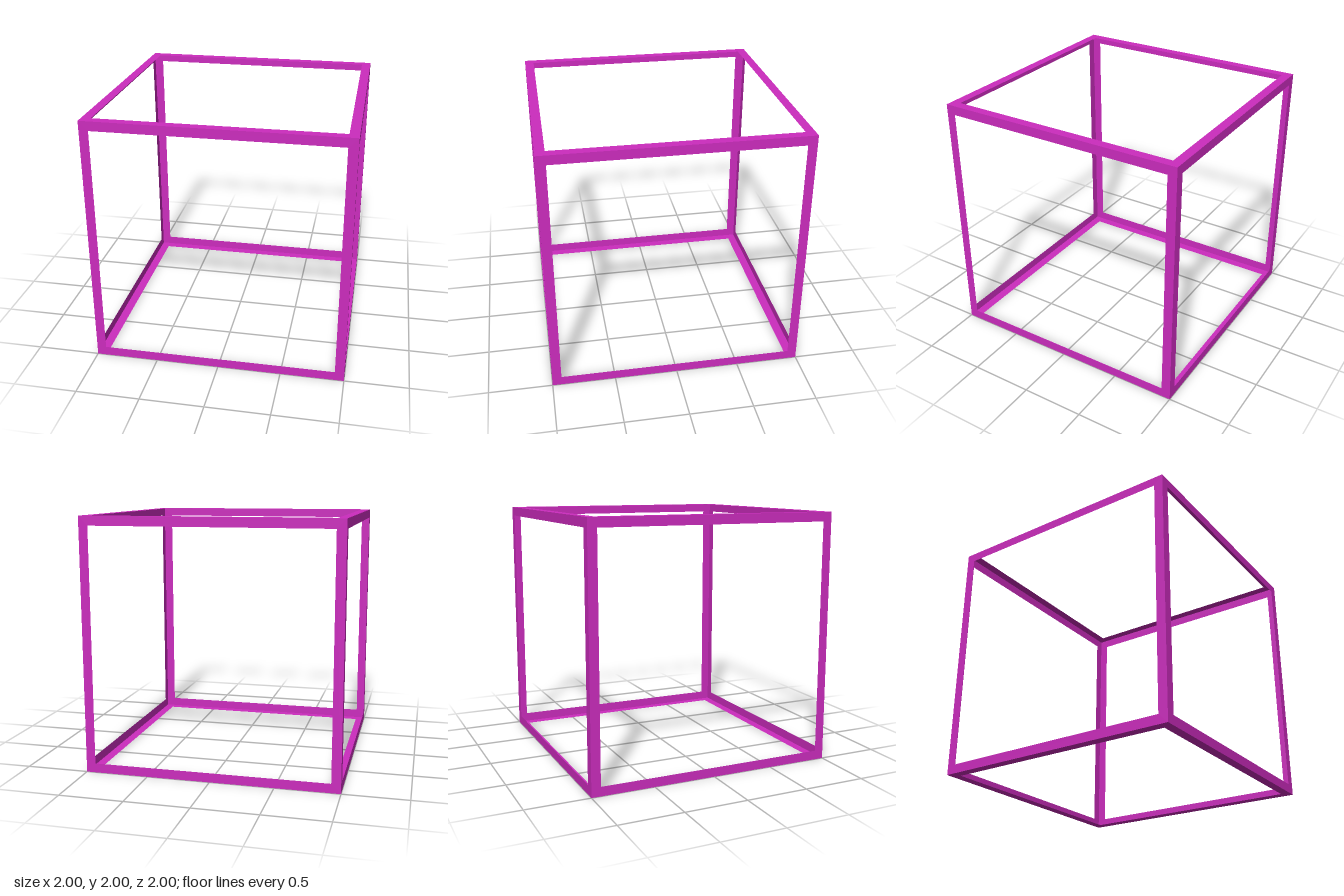
import * as THREE from 'three';

const HALF = 1;         // half the cube's edge
const BORDER = 0.073;   // width of each face's rim

export function createModel() {
  const model = new THREE.Group();
  model.name = 'openCubeFrame';

  const magenta = new THREE.MeshStandardMaterial({ color: 0xcc2cbe, side: THREE.DoubleSide });
  magenta.name = 'magenta';

  // Flat square rim with a square opening
  const square = (r) => [[-r, -r], [r, -r], [r, r], [-r, r]].map(([x, y]) => new THREE.Vector2(x, y));
  const rim = new THREE.Shape(square(HALF));
  rim.holes.push(new THREE.Path(square(HALF - BORDER).reverse()));
  const rimGeometry = new THREE.ShapeGeometry(rim).translate(0, 0, HALF);

  // One rim for each side of the cube, turned to face outwards
  const sides = [
    ['frontRim', 0, 0],
    ['leftRim', 0, Math.PI / 2],
    ['backRim', 0, Math.PI],
    ['rightRim', 0, -Math.PI / 2],
    ['topRim', -Math.PI / 2, 0],
    ['bottomRim', Math.PI / 2, 0],
  ];
  for (const [name, rx, ry] of sides) {
    const mesh = new THREE.Mesh(rimGeometry, magenta);
    mesh.name = name;
    mesh.rotation.set(rx, ry, 0);
    mesh.position.y = HALF;
    model.add(mesh);
  }
  return model;
}
